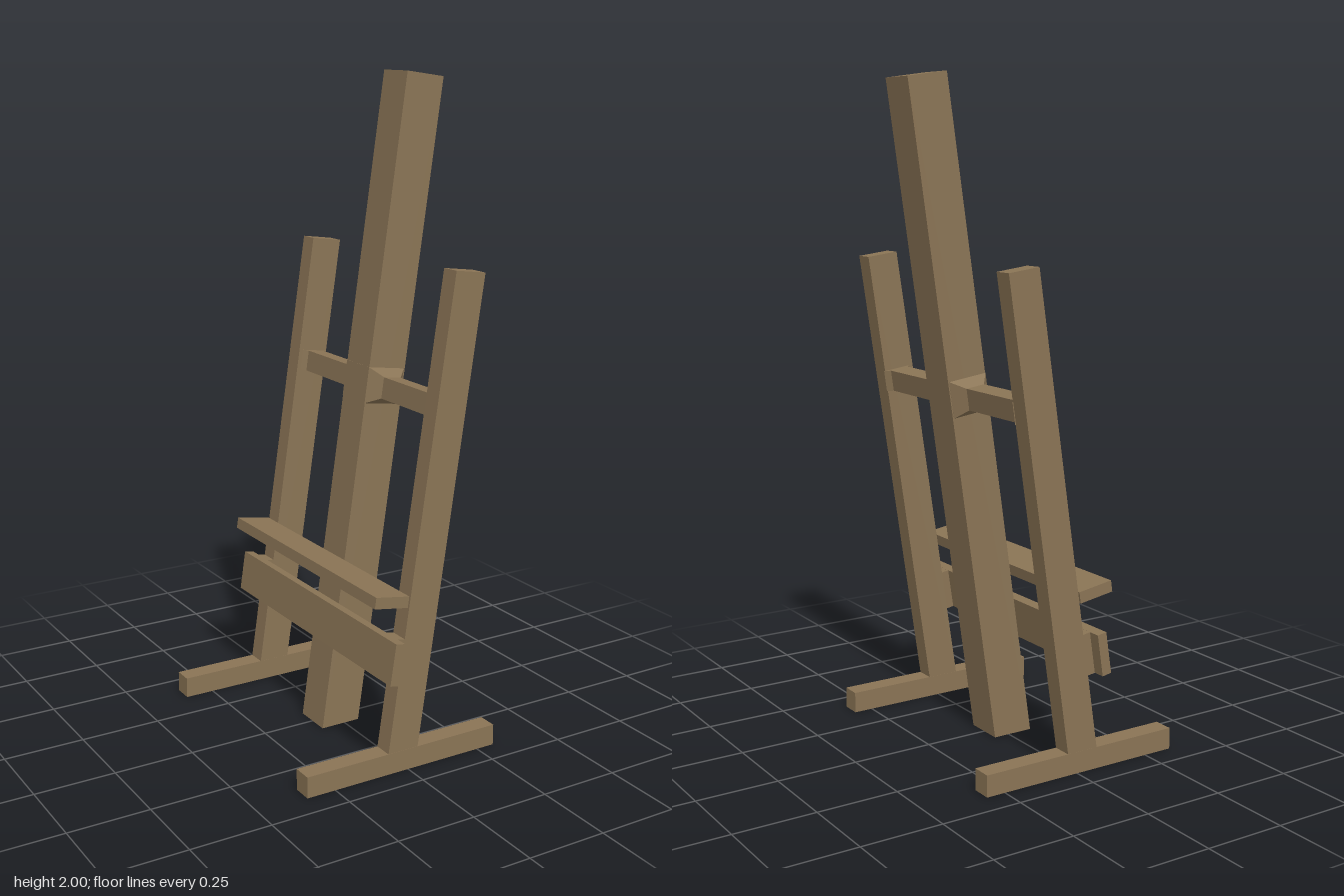
import * as THREE from 'three';

const LEAN = Math.atan(0.144); // backward tilt of the uprights

export function createModel() {
  const easel = new THREE.Group();
  easel.name = 'easel';
  const wood = new THREE.MeshStandardMaterial({ color: 0x8a7455, flatShading: true });

  function add(name, geometry) {
    const mesh = new THREE.Mesh(geometry, wood);
    mesh.name = name;
    easel.add(mesh);
    return mesh;
  }

  // Side outline (x, y) extruded across z
  function plank(name, outline, depth, z = 0) {
    const shape = new THREE.Shape(outline.map(([x, y]) => new THREE.Vector2(x, y)));
    const geometry = new THREE.ExtrudeGeometry(shape, { depth, bevelEnabled: false });
    geometry.translate(0, 0, z - depth / 2);
    return add(name, geometry);
  }

  // Central mast, cut level at the floor
  plank('mast', [[-0.08, 0], [0.05, 0], [0.337, 1.982], [0.21, 2]], 0.125);

  // Side frames: foot, upright and the spacer behind the lower rail
  for (const [side, s] of [['left', 1], ['right', -1]]) {
    const z = s * 0.392;
    plank(side + 'Foot', [[-0.343, 0], [0.31, 0], [0.31, 0.065], [-0.343, 0.065]], 0.061, z);
    plank(side + 'Upright', [[-0.07, 0.06], [0.032, 0.06], [0.239, 1.457], [0.14, 1.47]], 0.06, z);
    plank(side + 'Spacer', [[-0.06, 0.293], [-0.03, 0.288], [-0.012, 0.413], [-0.042, 0.418]], 0.06, z);
  }

  // Canvas shelf and lower rail across the front
  plank('shelf', [[-0.12, 0.526], [-0.008, 0.508], [-0.003, 0.542], [-0.115, 0.56]], 0.843);
  plank('lowerRail', [[-0.09, 0.298], [-0.06, 0.293], [-0.041, 0.418], [-0.071, 0.423]], 0.92);

  // Crossbar flaring out at the mast and the uprights: [z, width, height]
  const half = [[0.063, 0.126, 0.11], [0.1, 0.06, 0.065], [0.348, 0.06, 0.065], [0.364, 0.092, 0.065]];
  const stations = [...half.map(([z, w, h]) => [-z, w, h]).reverse(), ...half];
  const spans = stations.length - 1;
  const bar = new THREE.BoxGeometry(1, 1, 1, 1, 1, spans);
  const p = bar.attributes.position;
  for (let i = 0; i < p.count; i++) {
    const [z, w, h] = stations[Math.round((p.getZ(i) + 0.5) * spans)];
    p.setXYZ(i, p.getX(i) * w, p.getY(i) * h, z);
  }
  bar.computeVertexNormals();
  const crossbar = add('crossbar', bar);
  crossbar.rotation.z = -LEAN;
  crossbar.position.set(0.138, 1.072, 0);

  return easel;
}
